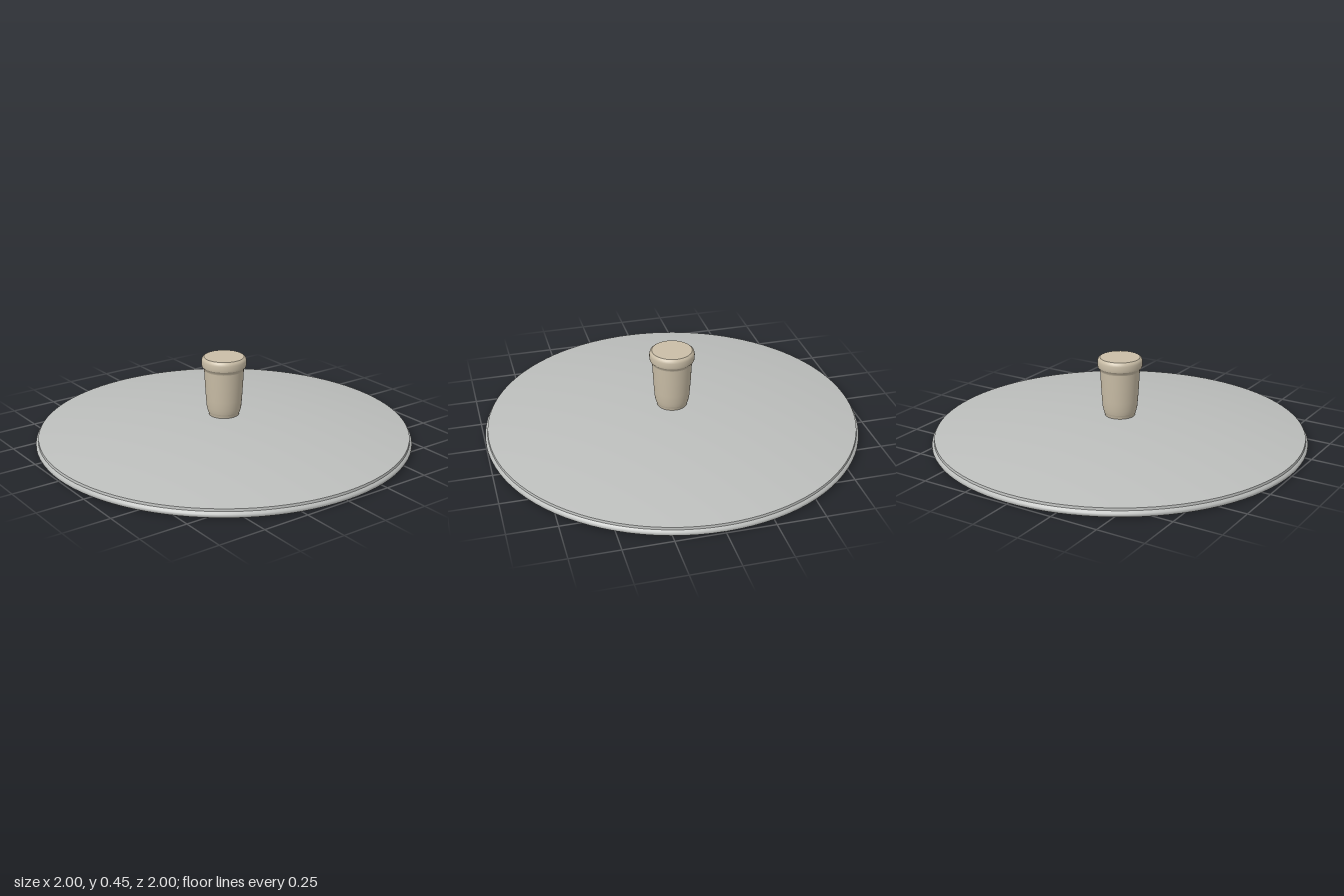
import * as THREE from 'three';

// Spins [radius, height] pairs about y; each section gets its own smooth normals.
function lathe(points, segments, material, name) {
  const profile = points.map(([r, y]) => new THREE.Vector2(r, y));
  const mesh = new THREE.Mesh(new THREE.LatheGeometry(profile, segments), material);
  mesh.name = name;
  return mesh;
}

// Shallow arc from the rim (radius r, height y) up to the centre height.
function domeProfile(r, y, top, steps = 14) {
  const points = [];
  for (let i = 0; i <= steps; i++) {
    const t = 1 - i / steps;
    points.push([r * t, top - (top - y) * t * t]);
  }
  return points;
}

export function createModel() {
  const metal = new THREE.MeshStandardMaterial({ color: 0xbcbebc });
  metal.name = 'brushed metal';
  const wood = new THREE.MeshStandardMaterial({ color: 0xcabea7 });
  wood.name = 'pale knob';

  const lid = new THREE.Group();
  lid.name = 'lid';

  // Domed plate: upper skin and hollow underside
  lid.add(lathe(domeProfile(0.985, 0.045, 0.13), 96, metal, 'domeTop'));
  lid.add(lathe(domeProfile(0.972, 0.012, 0.115).reverse(), 96, metal, 'domeUnderside'));

  // Rolled rim
  lid.add(lathe([
    [0.972, 0.012], [0.974, 0.004], [0.982, 0], [0.99, 0.001], [0.997, 0.006],
    [1, 0.014], [0.998, 0.022], [0.992, 0.028], [0.987, 0.032],
  ], 96, metal, 'rim'));
  lid.add(lathe([[0.987, 0.032], [0.985, 0.045]], 96, metal, 'rimStep'));

  // Knob: foot, tapered grip, flared collar and flat cap
  const knob = new THREE.Group();
  knob.name = 'knob';
  const sections = {
    knobFoot: [[0.079, 0.12], [0.08, 0.134], [0.086, 0.15]],
    knobGrip: [[0.086, 0.15], [0.092, 0.175], [0.096, 0.22], [0.101, 0.3], [0.105, 0.378]],
    knobFlare: [[0.105, 0.378], [0.107, 0.386], [0.117, 0.398]],
    knobCollar: [[0.117, 0.398], [0.119, 0.408], [0.119, 0.43], [0.115, 0.443], [0.106, 0.45]],
    knobCap: [[0.106, 0.45], [0, 0.45]],
  };
  for (const [name, points] of Object.entries(sections)) {
    knob.add(lathe(points, 48, wood, name));
  }
  lid.add(knob);

  return lid;
}
